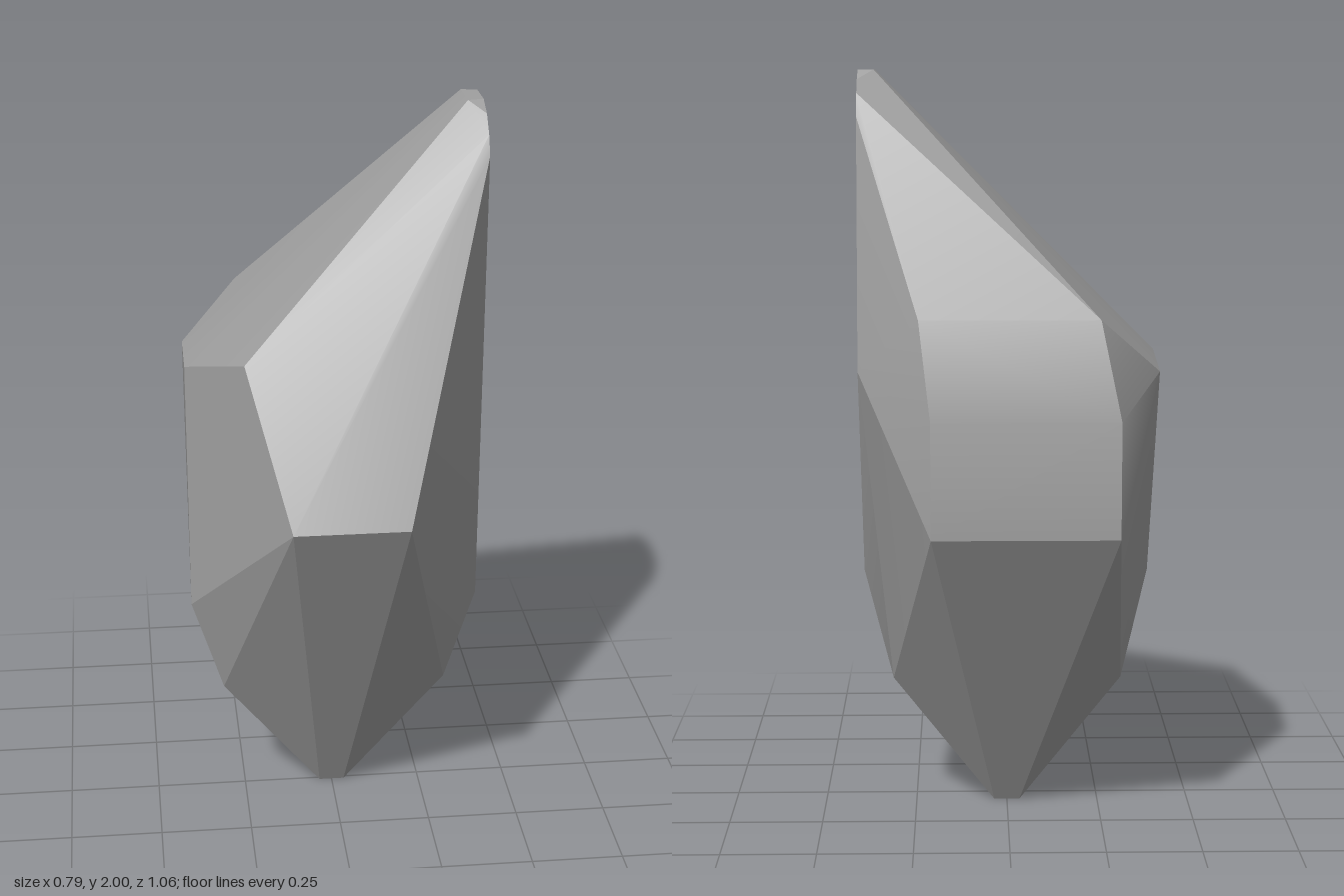
import * as THREE from 'three';
import { toCreasedNormals } from 'three/addons/utils/BufferGeometryUtils.js';
import { ConvexGeometry } from 'three/addons/geometries/ConvexGeometry.js';

const stone = new THREE.MeshStandardMaterial({ color: 0xa0a0a0 });
stone.name = 'grey stone';

export function createModel() {
  const points = [];
  const add = (x, y, z) => points.push(new THREE.Vector3(x, y, z));

  // corners that occur on both sides
  for (const s of [-1, 1]) {
    add(s * 0.035, 0, 0.01); // blunt foot
    add(s * 0.035, 0, -0.065);
    add(s * 0.31, 0.36, 0.08); // lower flanks
    add(s * 0.31, 0.36, -0.105);
    add(s * 0.395, 0.62, 0.08);
    add(s * 0.15, 1.02, 0.53); // front edge
    add(s * 0.23, 1.38, -0.46); // upper back
    add(s * 0.388, 1.235, -0.347); // back flanks
  }

  // back facet
  for (const y of [0.83, 1.13]) {
    add(0.2, y, -0.527);
    add(-0.28, y, -0.527);
  }

  // shoulder of the low side
  add(-0.25, 1.38, 0.26);
  add(-0.392, 1.26, -0.075);

  // rounded peak
  const arc = [[0.14, 1.88], [0.117, 1.93], [0.075, 1.975], [0.02, 2],
    [-0.08, 2], [-0.135, 1.975], [-0.172, 1.94], [-0.197, 1.88]];
  for (const [z, y] of arc) add(0.392, y, z);
  add(0.35, 2, 0.03);
  add(0.35, 2, -0.09);

  const rock = new THREE.Mesh(toCreasedNormals(new ConvexGeometry(points), 0.36), stone);
  rock.name = 'rock';

  const group = new THREE.Group();
  group.name = 'pointed rock';
  group.add(rock);
  return group;
}
